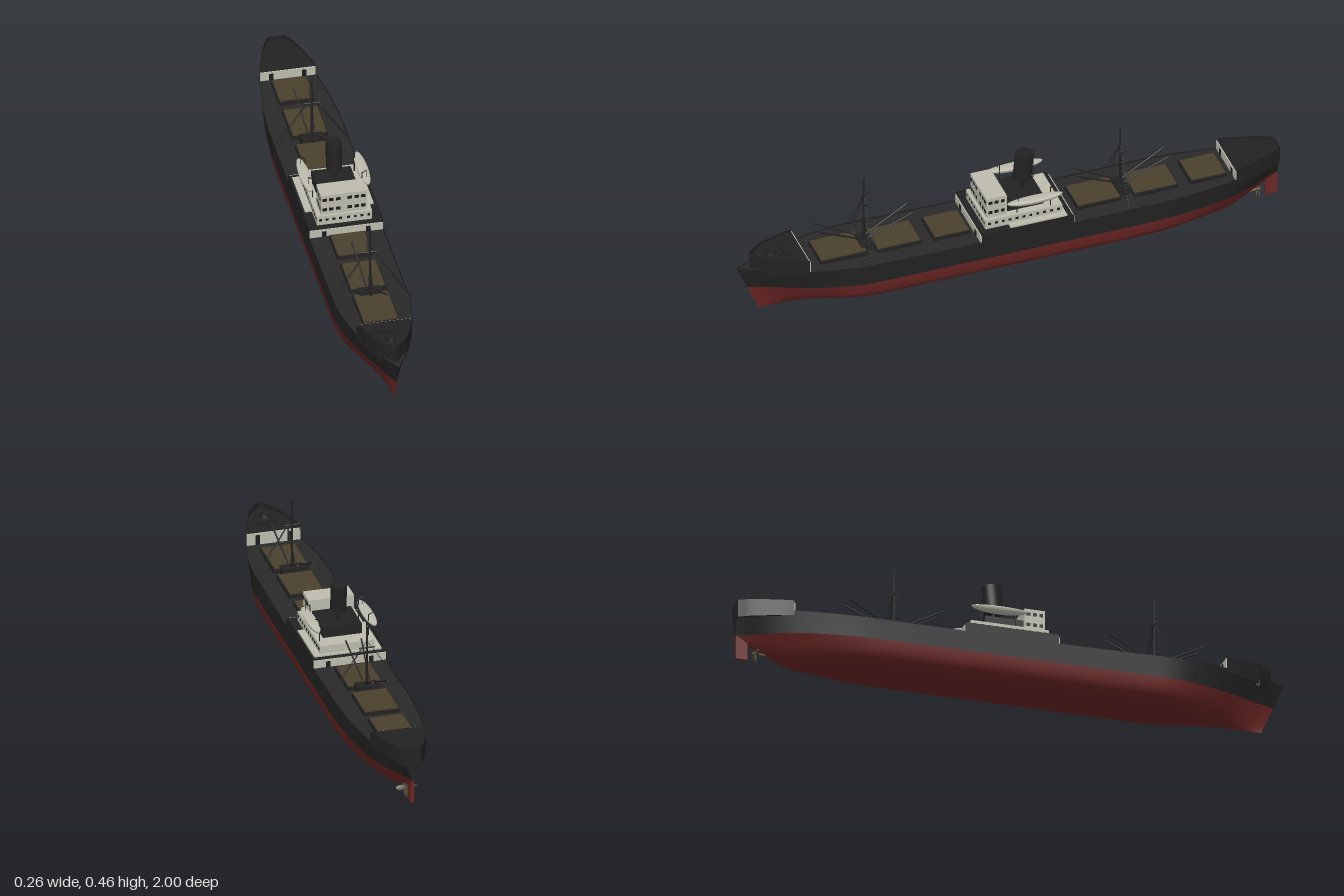
import * as THREE from 'three';

const mat = (name, color) => new THREE.MeshStandardMaterial({ name, color, side: THREE.DoubleSide });

export function createModel() {
  const ship = new THREE.Group();
  ship.name = 'cargoShip';
  const black = mat('black paint', 0x222222);
  const deckMat = mat('dark deck', 0x292929);
  const red = mat('red antifouling', 0x6a2624);
  const white = mat('off white paint', 0xbdbcae);
  const tan = mat('hatch canvas', 0x4a412c);
  const glass = mat('window glass', 0x1a1b1c);
  const bronze = mat('propeller bronze', 0x574f3a);

  const add = (name, geo, material, x = 0, y = 0, z = 0) => {
    const m = new THREE.Mesh(geo, material);
    m.name = name;
    m.position.set(x, y, z);
    ship.add(m);
    return m;
  };
  // Box given by its limits
  const box = (name, material, x0, x1, y0, y1, z0, z1) =>
    add(name, new THREE.BoxGeometry(x1 - x0, y1 - y0, z1 - z0), material, (x0 + x1) / 2, (y0 + y1) / 2, (z0 + z1) / 2);
  // Round bar between two points
  const bar = (name, a, b, r, material = black, r2 = r) => {
    const p = new THREE.Vector3(...a), q = new THREE.Vector3(...b), d = q.clone().sub(p);
    const m = add(name, new THREE.CylinderGeometry(r2, r, d.length(), 8), material);
    m.position.copy(p).add(q).multiplyScalar(0.5);
    m.quaternion.setFromUnitVectors(new THREE.Vector3(0, 1, 0), d.normalize());
    return m;
  };
  // Surface through rows of points
  const loft = (name, material, rows) => {
    const n = rows[0].length, idx = [];
    for (let i = 0; i < rows.length - 1; i++)
      for (let j = 0; j < n - 1; j++) {
        const a = i * n + j, b = a + n;
        idx.push(a, a + 1, b, a + 1, b + 1, b);
      }
    const g = new THREE.BufferGeometry();
    g.setAttribute('position', new THREE.Float32BufferAttribute(rows.flat(2), 3));
    g.setIndex(idx);
    g.computeVertexNormals();
    return add(name, g, material);
  };

  // Hull lines: z, deck half width, waterline half width, fullness, keel height
  const lines = [
    [-1, 0.03, 0.004, 0, 0.095], [-0.96, 0.052, 0.016, 0, 0.07], [-0.9, 0.075, 0.05, 0.08, 0.04],
    [-0.8, 0.103, 0.09, 0.4, 0.002], [-0.6, 0.128, 0.124, 0.85, 0], [-0.4, 0.132, 0.132, 1, 0],
    [0.5, 0.132, 0.132, 1, 0], [0.6, 0.129, 0.126, 0.9, 0], [0.75, 0.103, 0.09, 0.5, 0],
    [0.88, 0.058, 0.042, 0.15, 0], [1, 0, 0, 0, 0]];
  const slope = (i, k) => {
    const a = lines[Math.max(i - 1, 0)], b = lines[Math.min(i + 1, lines.length - 1)];
    return (b[k] - a[k]) / (b[0] - a[0]);
  };
  const at = (z, k) => {
    let i = 0;
    while (i < lines.length - 2 && z > lines[i + 1][0]) i++;
    const p = lines[i], q = lines[i + 1], h = q[0] - p[0], t = (z - p[0]) / h;
    const v = p[k] * (1 + 2 * t) * (1 - t) ** 2 + q[k] * t * t * (3 - 2 * t)
      + h * (slope(i, k) * t * (1 - t) ** 2 - slope(i + 1, k) * t * t * (1 - t));
    return Math.min(Math.max(v, 0), [0, 0.132, 0.132, 1, 0.1][k]);
  };
  const sheer = z => 0.174 + 0.016 * (z > 0 ? z * z : 0.5 * z * z);
  const rake = (z, y) => z > 0.6 ? 0.6 + (z - 0.6) * (0.32 + 0.43 * y) / 0.4 : z;
  const mirror = half => [...half.slice().reverse().map(([x, y, z]) => [-x, y, z]), ...half];
  const bilge = [[0, 0], [0.4, 0.08], [0.7, 0.2], [0.88, 0.37], [0.97, 0.62], [1, 1]];
  const zs = [];
  for (let i = 0; i <= 60; i++) zs.push(-1 + i / 30);
  const bottom = zs.map(z => mirror(bilge.map(([fx, fy]) => {
    const f = at(z, 3), k = at(z, 4), y = k + (0.1 - k) * fy;
    return [at(z, 2) * (fx * f + fy ** 0.8 * (1 - f)), y, rake(z, y)];
  })));
  loft('lowerHull', red, bottom);
  const side = s => zs.map(z => [0, 0.5, 1].map(t => {
    const y = 0.1 + (sheer(z) - 0.1) * t;
    return [s * (at(z, 2) + (at(z, 1) - at(z, 2)) * t), y, rake(z, y)];
  }));
  loft('leftTopside', black, side(1));
  loft('rightTopside', black, side(-1));
  loft('transom', black, [side(-1)[0], side(1)[0]]);
  loft('mainDeck', deckMat, zs.map(z => {
    const y = sheer(z) - 0.006, w = at(z, 1) * 0.99;
    return [[-w, y, rake(z, y)], [w, y, rake(z, y)]];
  }));

  // Raised decks that follow the hull outline, with a bulwark around the edge
  const raised = (name, z0, z1, y0, y1, width, wall) => {
    const edge = [];
    for (let i = 0; i <= 16; i++) { const z = z0 + (z1 - z0) * i / 16; edge.push([width(z), z]); }
    const pts = [...edge, ...edge.slice().reverse().map(([x, z]) => [-x, z])];
    const g = new THREE.ExtrudeGeometry(new THREE.Shape(pts.map(([x, z]) => new THREE.Vector2(x, -z))),
      { depth: y1 - y0, bevelEnabled: false });
    g.rotateX(-Math.PI / 2);
    add(name, g, black, 0, y0, 0);
    for (const s of [1, -1])
      loft(name + 'Bulwark', black, edge.map(([x, z]) => [[s * x, y1 - 0.002, z], [s * x, y1 + wall(z), z]]));
  };
  raised('forecastle', 0.765, 0.955, 0.165, 0.224,
    z => at(z, 1) * Math.sqrt(Math.max(0, Math.min(1, (0.955 - z) / 0.06))), z => 0.006 + 0.08 * (z - 0.765));
  raised('poop', -1, -0.815, 0.16, 0.212, z => at(z, 1), z => 0.006 + 0.04 * (-0.815 - z));
  raised('bridgeDeck', -0.2, 0.14, 0.16, 0.2, () => 0.132, () => 0.008);
  loft('sternBulwark', black, [[[-0.03, 0.21, -1], [-0.03, 0.225, -1]], [[0.03, 0.21, -1], [0.03, 0.225, -1]]]);

  // White break walls with doors
  const breakWall = (name, z, dir, w, y0, y1) => {
    box(name, white, -w, w, y0, y1, z - 0.002, z + 0.002);
    for (const x of [-0.6, 0.6])
      box(name + 'Door', glass, x * w - 0.008, x * w + 0.008, y0, y1 - 0.007, z + dir * 0.002 - 0.001, z + dir * 0.002 + 0.001);
  };
  breakWall('forecastleWall', 0.763, -1, 0.097, 0.178, 0.222);
  breakWall('poopWall', -0.813, 1, 0.098, 0.176, 0.21);
  breakWall('bridgeFrontWall', 0.142, 1, 0.13, 0.17, 0.199);
  breakWall('bridgeRearWall', -0.202, -1, 0.13, 0.17, 0.199);

  // Cargo hatches
  for (const [a, b] of [[-0.79, -0.66], [-0.61, -0.45], [-0.4, -0.24], [0.16, 0.29], [0.34, 0.5], [0.54, 0.71]]) {
    const y = sheer((a + b) / 2);
    box('hatchCoaming', black, -0.064, 0.064, y - 0.01, y + 0.008, a - 0.002, b + 0.002);
    box('hatchCover', tan, -0.06, 0.06, y + 0.008, y + 0.012, a + 0.002, b - 0.002);
  }

  // Midship house, wheelhouse and engine casing
  box('lowerHouse', white, -0.098, 0.098, 0.2, 0.236, -0.17, 0.115);
  box('boatDeck', white, -0.122, 0.122, 0.2, 0.206, -0.18, 0.03);
  box('wheelhouse', white, -0.082, 0.082, 0.236, 0.315, 0.03, 0.105);
  box('engineCasing', black, -0.07, 0.07, 0.236, 0.274, -0.11, 0.03);
  for (const y of [0.256, 0.296]) {
    for (const x of [-0.068, -0.046, -0.02, 0.02, 0.046, 0.068])
      box('frontWindow', glass, x - 0.008, x + 0.008, y - 0.006, y + 0.006, 0.104, 0.106);
    for (const s of [-1, 1]) for (const z of [0.045, 0.068, 0.091])
      box('sideWindow', glass, s * 0.082 - 0.001, s * 0.082 + 0.001, y - 0.006, y + 0.006, z - 0.007, z + 0.007);
  }
  for (const s of [-1, 1]) {
    for (let i = 0; i < 11; i++) {
      const z = -0.155 + i * 0.0255;
      box('housePort', glass, s * 0.098 - 0.001, s * 0.098 + 0.001, 0.216, 0.225, z - 0.005, z + 0.005);
    }
    for (let i = 0; i < 4; i++) {
      const x = s * (0.014 + i * 0.024);
      box('houseFrontPort', glass, x - 0.005, x + 0.005, 0.216, 0.225, 0.114, 0.116);
    }
  }

  // Funnel, raked aft
  bar('funnelPipe', [0, 0.272, -0.057], [0, 0.32, -0.058], 0.008);
  const funnel = add('funnel', new THREE.CylinderGeometry(0.028, 0.028, 0.105, 32), black, 0, 0.367, -0.061);
  funnel.rotation.x = -0.1;
  funnel.scale.z = 1.2;

  // Lifeboats and davits
  for (const s of [-1, 1]) {
    const hull = new THREE.SphereGeometry(1, 24, 12, 0, Math.PI * 2, Math.PI / 2, Math.PI / 2);
    add('lifeboatHull', hull, white, s * 0.102, 0.291, -0.067).scale.set(0.02, 0.02, 0.103);
    add('lifeboatCover', new THREE.SphereGeometry(1, 24, 6, 0, Math.PI * 2, 0, Math.PI / 2), white, s * 0.102, 0.291, -0.067)
      .scale.set(0.02, 0.005, 0.103);
    for (const z of [-0.13, -0.005]) {
      bar('davitPost', [s * 0.088, 0.236, z], [s * 0.088, 0.315, z], 0.002);
      bar('davitArm', [s * 0.088, 0.314, z], [s * 0.104, 0.323, z], 0.002);
      bar('davitFall', [s * 0.103, 0.322, z], [s * 0.103, 0.292, z], 0.0007);
    }
  }

  // Masts with houses, crosstrees, cargo booms and shrouds
  for (const [z, top] of [[0.53, 0.458], [-0.42, 0.438]]) {
    box('mastHouse', black, -0.04, 0.04, 0.165, 0.197, z - 0.022, z + 0.022);
    bar('mast', [0, 0.17, z], [0, top, z], 0.005, black, 0.003);
    bar('crosstree', [-0.028, top - 0.1, z], [0.028, top - 0.1, z], 0.003);
    for (const s of [-1, 1]) {
      for (const d of [-1, 1]) {
        bar('cargoBoom', [s * 0.012, 0.208, z + d * 0.012], [s * 0.028, 0.287, z + d * 0.17], 0.003);
      }
      for (const d of [-0.014, 0, 0.014])
        bar('shroud', [s * 0.004, top - 0.08, z], [s * 0.127, 0.176, z + d], 0.0008);
    }
  }

  // Bow gear
  add('capstan', new THREE.CylinderGeometry(0.016, 0.02, 0.014, 16), black, 0, 0.23, 0.875);
  box('windlass', black, -0.03, 0.03, 0.222, 0.234, 0.815, 0.835);
  for (const s of [-1, 1])
    box('anchor', black, s * 0.047 - 0.004, s * 0.047 + 0.004, 0.155, 0.177, 0.885, 0.9);

  // Rudder and propeller
  box('rudder', red, -0.005, 0.005, 0.012, 0.1, -0.998, -0.956);
  bar('propellerShaft', [0, 0.04, -0.86], [0, 0.04, -0.938], 0.006, bronze);
  for (let i = 0; i < 4; i++) {
    const blade = add('propellerBlade', new THREE.SphereGeometry(1, 12, 8), bronze);
    const a = i * Math.PI / 2;
    blade.scale.set(0.01, 0.019, 0.003);
    blade.rotation.set(0, 0.5, a, 'ZYX');
    blade.position.set(-Math.sin(a) * 0.02, 0.04 + Math.cos(a) * 0.02, -0.925);
  }
  return ship;
}
